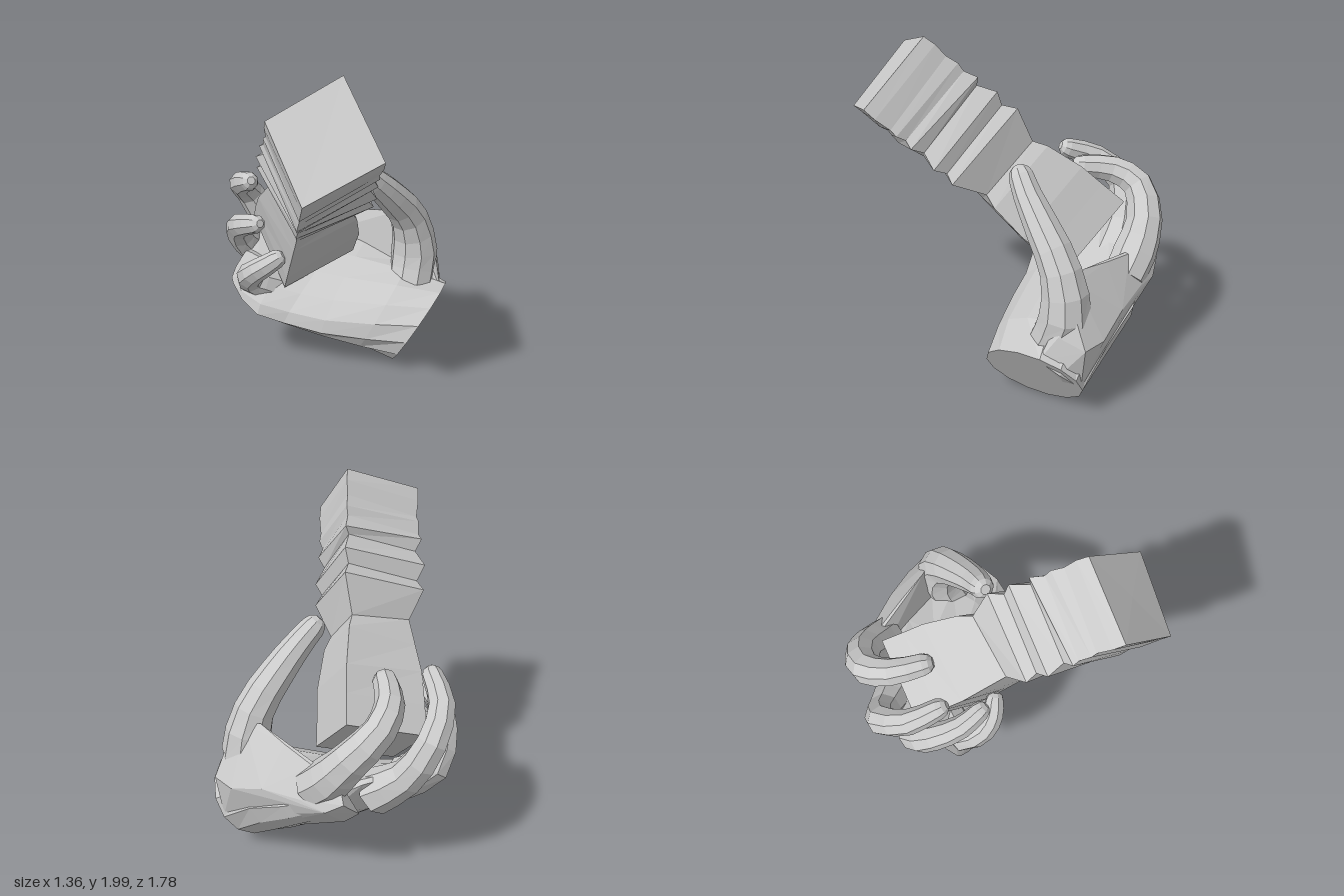
import * as THREE from 'three';
import { ConvexGeometry } from 'three/addons/geometries/ConvexGeometry.js';

const V = (x, y, z) => new THREE.Vector3(x, y, z);
const material = new THREE.MeshStandardMaterial({ color: 0xcccccc, flatShading: true });

// Skin a closed solid over rings of points, capping both ends
function loft(name, rings) {
  const n = rings[0].length;
  const tris = [];
  const add = (a, b, c) => tris.push([a, b, c]);
  for (let i = 0; i < rings.length - 1; i++) {
    for (let j = 0; j < n; j++) {
      const k = (j + 1) % n;
      const a = rings[i][j], b = rings[i][k], c = rings[i + 1][k], d = rings[i + 1][j];
      add(a, b, c);
      add(a, c, d);
    }
  }
  const cap = (ring, flip) => {
    const mid = ring.reduce((s, p) => s.add(p), V(0, 0, 0)).divideScalar(n);
    ring.forEach((p, j) => {
      const q = ring[(j + 1) % n];
      flip ? add(mid, q, p) : add(mid, p, q);
    });
  };
  cap(rings[0], true);
  cap(rings[rings.length - 1], false);

  // A negative volume means the faces point inward
  let volume = 0;
  for (const [a, b, c] of tris) volume += a.dot(b.clone().cross(c));
  const out = [];
  for (const [a, b, c] of tris) {
    for (const p of volume < 0 ? [a, c, b] : [a, b, c]) out.push(p.x, p.y, p.z);
  }
  const geometry = new THREE.BufferGeometry();
  geometry.setAttribute('position', new THREE.Float32BufferAttribute(out, 3));
  geometry.computeVertexNormals();
  const mesh = new THREE.Mesh(geometry, material);
  mesh.name = name;
  return mesh;
}

// Elliptical ring from a centre and two half axes
const ellipse = (c, u, v, sides) => Array.from({ length: sides }, (_, j) => {
  const a = (j / sides) * Math.PI * 2;
  return c.clone().addScaledVector(u, Math.cos(a)).addScaledVector(v, Math.sin(a));
});

// Tapered, bending limb through [x, y, z, radius] points, with a rounded tip
function limb(name, points, sides = 8) {
  const curve = new THREE.CatmullRomCurve3(points.map(p => V(p[0], p[1], p[2])));
  const steps = (points.length - 1) * 2;
  const rings = [];
  let side = V(0.3, 0.1, 1).normalize();
  const ringAt = (center, tangent, r) => {
    side = side.clone().addScaledVector(tangent, -side.dot(tangent)).normalize();
    const other = tangent.clone().cross(side);
    rings.push(ellipse(center, side.clone().multiplyScalar(r), other.multiplyScalar(r), sides));
  };
  for (let i = 0; i <= steps; i++) {
    const t = i / steps, f = t * (points.length - 1);
    const k = Math.min(Math.floor(f), points.length - 2);
    const r = THREE.MathUtils.lerp(points[k][3], points[k + 1][3], f - k);
    ringAt(curve.getPoint(t), curve.getTangent(t), r);
  }
  // Rounded tip
  const end = curve.getPoint(1), dir = curve.getTangent(1), r = points[points.length - 1][3];
  ringAt(end.clone().addScaledVector(dir, r * 0.5), dir, r * 0.82);
  ringAt(end.clone().addScaledVector(dir, r * 0.85), dir, r * 0.42);
  return loft(name, rings);
}

// Square bar with a ragged, stepped surface and a flat end
function bar() {
  const axis = V(0.17, 0.67, 0.72).normalize();
  const center = V(0.03, 1.745, 0.65);
  const corners = [V(0.1, 2, 0.4), V(0.33, 1.65, 0.67), V(-0.05, 1.49, 0.89), V(-0.26, 1.83, 0.64)]
    .map(p => p.sub(center));
  // [distance down the bar, width factor, width factor of the lower edge]
  const profile = [
    [0, 1, 1], [0.07, 1.01, 0.98], [0.18, 0.98, 0.99], [0.22, 1.01, 0.94], [0.29, 0.97, 1], [0.34, 1.06, 1.03],
    [0.41, 0.92, 0.96], [0.5, 1.1, 0.92], [0.565, 0.94, 0.86], [0.64, 1.08, 0.87], [0.82, 0.79, 0.78],
    [0.93, 0.9, 0.83], [1.12, 1.02, 0.9], [1.3, 1.04, 1], [1.47, 1.05, 1.03],
  ];
  let seed = 7;
  const jitter = () => (seed = (seed * 16807) % 2147483647) / 2147483647 - 0.5;
  const rings = profile.map(([t, s, low], i) => corners.map((c, j) => {
    const rough = i > 0 && i < 13 ? 1 : 0;
    return center.clone()
      .addScaledVector(c, (j === 2 ? low : s) + rough * jitter() * 0.05)
      .addScaledVector(axis, -t - rough * jitter() * 0.05);
  }));
  return loft('bar', rings);
}

// Palm and wrist: elliptical sections as [center, width axis, thickness axis]
function palm() {
  return loft('palm', [
    [V(0.52, 0.235, -0.31), V(0.07, 0, -0.29), V(0.14, 0.235, 0)],
    [V(0.3, 0.32, -0.36), V(0.1, 0.08, -0.33), V(0.1, 0.21, 0.05)],
    [V(0.05, 0.4, -0.42), V(0.12, 0.14, -0.38), V(0.03, 0.16, 0.06)],
    [V(-0.13, 0.45, -0.44), V(0.17, 0.15, -0.37), V(0.04, 0.13, 0.06)],
    [V(-0.28, 0.49, -0.42), V(0.18, 0.14, -0.35), V(0, 0.12, 0.05)],
    [V(-0.4, 0.55, -0.41), V(0.16, 0.13, -0.29), V(-0.05, 0.09, 0.03)],
    [V(-0.5, 0.61, -0.4), V(0.12, 0.1, -0.24), V(-0.05, 0.05, 0.02)],
  ].map(s => ellipse(...s, 14)));
}

// Flesh joining the wrist, thumb base and index knuckle
function thumbWeb() {
  const points = [
    // wrist side
    [0.64, 0.43, -0.36], [0.65, 0.36, -0.48], [0.59, 0.25, -0.59], [0.46, 0.1, -0.5],
    // outer bulge
    [0.61, 0.58, -0.46], [0.62, 0.52, -0.61], [0.5, 0.52, -0.69], [0.3, 0.6, -0.755],
    [0.08, 0.62, -0.82], [-0.08, 0.6, -0.875], [-0.18, 0.67, -0.88],
    // crest
    [0.55, 0.74, -0.52], [0.46, 0.84, -0.52], [0.36, 0.87, -0.54], [0.2, 0.83, -0.64],
    [0.02, 0.79, -0.74], [-0.14, 0.76, -0.8],
    // underside
    [0.25, 0.24, -0.56], [0.05, 0.32, -0.62], [-0.15, 0.45, -0.74], [-0.24, 0.55, -0.78],
  ];
  const mesh = new THREE.Mesh(new ConvexGeometry(points.map(p => V(...p))), material);
  mesh.name = 'thumbWeb';
  return mesh;
}

export function createModel() {
  const model = new THREE.Group();
  model.name = 'handHoldingBar';

  const hand = new THREE.Group();
  hand.name = 'hand';
  hand.add(
    palm(),
    thumbWeb(),
    limb('thumb', [
      [0.45, 0.42, -0.4, 0.14], [0.47, 0.64, -0.47, 0.145], [0.43, 0.88, -0.43, 0.115],
      [0.33, 1.06, -0.31, 0.098], [0.23, 1.2, -0.2, 0.08], [0.165, 1.28, -0.145, 0.07],
    ], 9),
    limb('indexFinger', [
      [0.02, 0.64, -0.72, 0.12], [-0.08, 0.74, -0.76, 0.125], [-0.2, 0.9, -0.79, 0.105],
      [-0.33, 1.05, -0.72, 0.09], [-0.35, 1.12, -0.57, 0.08], [-0.29, 1.15, -0.4, 0.066],
    ]),
    limb('middleFinger', [
      [-0.28, 0.57, -0.6, 0.13], [-0.46, 0.72, -0.63, 0.1], [-0.58, 0.93, -0.6, 0.085],
      [-0.6, 1.06, -0.43, 0.074], [-0.52, 1.14, -0.27, 0.058],
    ]),
    limb('ringFinger', [
      [-0.4, 0.55, -0.42, 0.12], [-0.57, 0.67, -0.43, 0.1], [-0.6, 0.82, -0.3, 0.08],
      [-0.54, 0.91, -0.15, 0.068], [-0.45, 0.96, -0.06, 0.057],
    ]),
    limb('littleFinger', [
      [-0.4, 0.46, -0.25, 0.11], [-0.51, 0.55, -0.16, 0.088], [-0.47, 0.65, -0.04, 0.072],
      [-0.39, 0.72, 0.0, 0.064], [-0.32, 0.77, 0.0, 0.055],
    ]),
  );

  model.add(hand, bar());
  return model;
}
